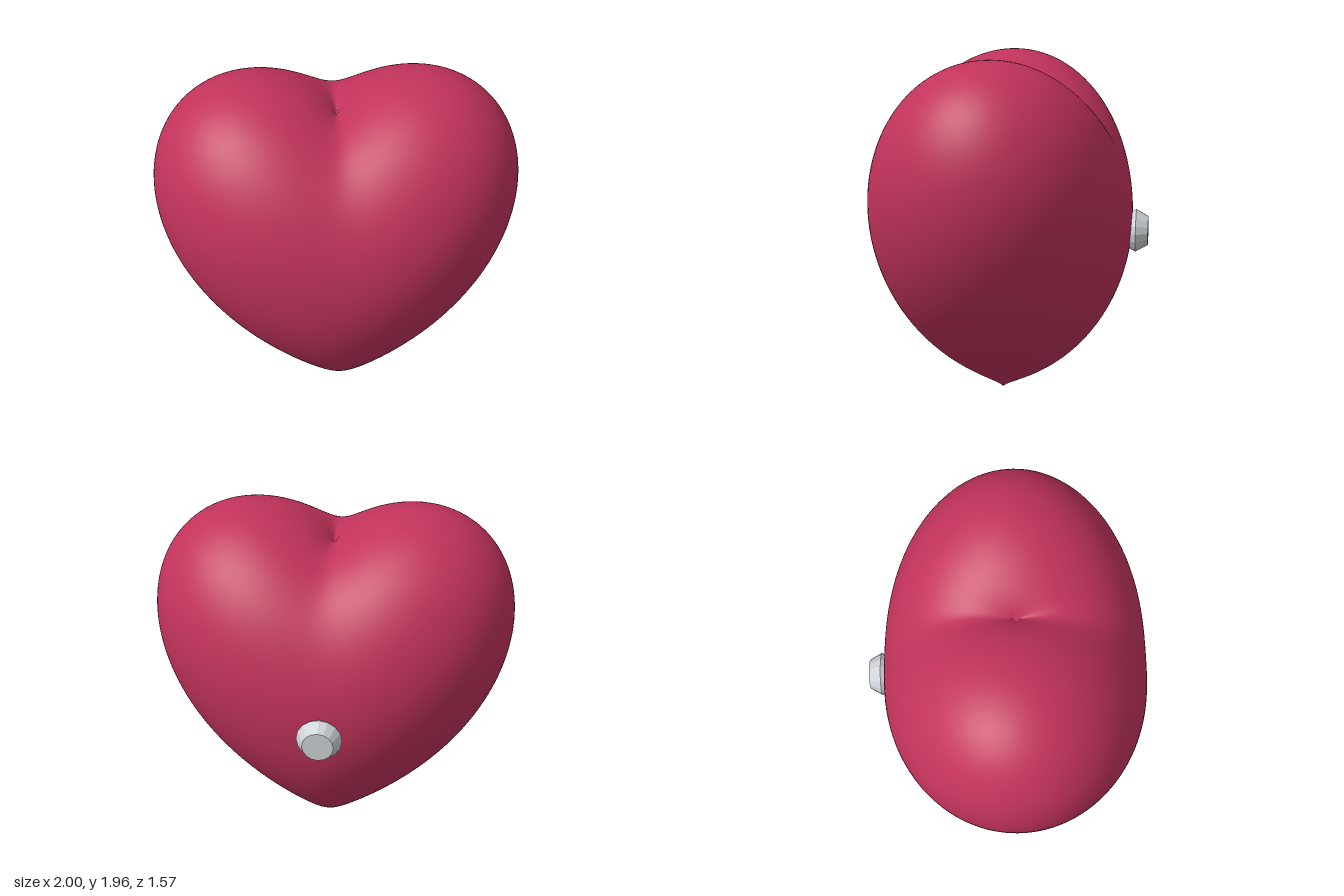
import * as THREE from 'three';
import { mergeVertices } from 'three/addons/utils/BufferGeometryUtils.js';

const SCALE = 0.878;      // heart units to model units
const DEPTH = 0.73;       // front-to-back scale
const CENTRE_Z = 0.042;   // the heart sits slightly forward of the rear knob

// Distance from the heart's centre to its surface along a unit direction:
// the root of r^2 - c r^(5/3) - 1 = 0, which gives a cleft above and a point below.
function heartRadius(d) {
  const c = d.y * Math.cbrt(d.x * d.x + 0.05 * d.z * d.z);
  let low = 0.2, high = 2.5;
  for (let i = 0; i < 40; i++) {
    const r = (low + high) / 2;
    if (r * r - c * Math.pow(r, 5 / 3) - 1 > 0) high = r;
    else low = r;
  }
  return (low + high) / 2;
}

// Sphere pushed out to the heart surface, welded for smooth normals
function heartGeometry() {
  const sphere = new THREE.SphereGeometry(1, 144, 112);
  sphere.deleteAttribute('uv');
  sphere.deleteAttribute('normal');
  const geometry = mergeVertices(sphere, 1e-5);
  const position = geometry.attributes.position;
  const d = new THREE.Vector3();
  for (let i = 0; i < position.count; i++) {
    d.fromBufferAttribute(position, i).normalize();
    d.multiplyScalar(heartRadius(d));
    position.setXYZ(i, d.x * SCALE, (d.y + 1) * SCALE, d.z * DEPTH + CENTRE_Z);
  }
  geometry.computeVertexNormals();
  return geometry;
}

export function createModel() {
  const red = new THREE.MeshStandardMaterial({ color: 0xc2335c });
  red.name = 'raspberry red';
  const grey = new THREE.MeshStandardMaterial({ color: 0xcdd1d5, flatShading: true });
  grey.name = 'light grey';

  const model = new THREE.Group();
  model.name = 'heart';

  const body = new THREE.Mesh(heartGeometry(), red);
  body.name = 'heartBody';
  model.add(body);

  // Bevelled knob on the back; profile is [radius, distance behind centre]
  const profile = [[0, 0.66], [0.1, 0.68], [0.122, 0.722], [0.083, 0.79], [0, 0.79]];
  const knobGeometry = new THREE.LatheGeometry(
    profile.map(([r, h]) => new THREE.Vector2(r, h)), 16);
  knobGeometry.rotateX(-Math.PI / 2);
  const knob = new THREE.Mesh(knobGeometry, grey);
  knob.name = 'backKnob';
  knob.position.y = 0.98;
  model.add(knob);

  return model;
}
